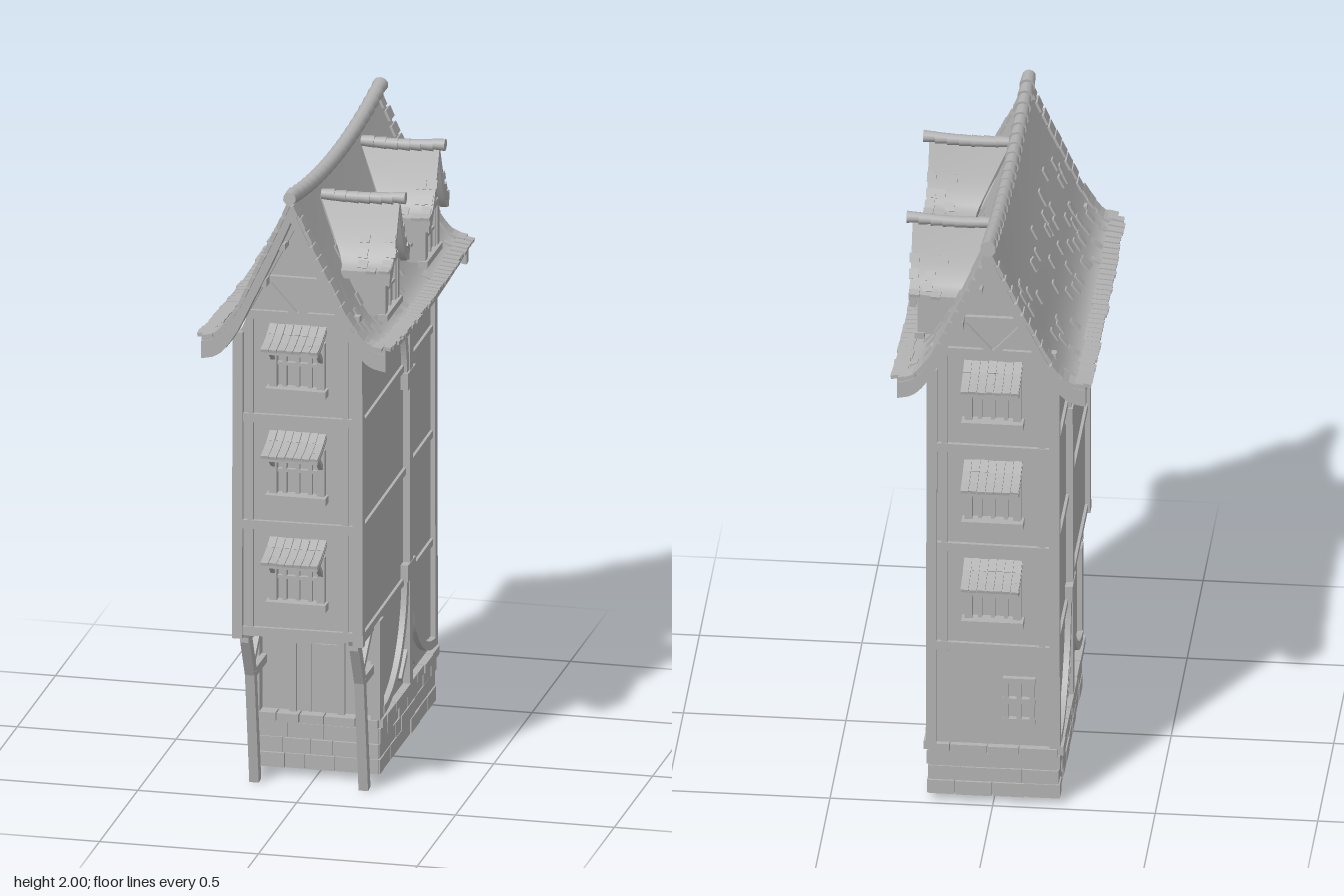
import * as THREE from 'three';
import { mergeGeometries, toCreasedNormals } from 'three/addons/utils/BufferGeometryUtils.js';

const V = (x, y, z) => new THREE.Vector3(x, y, z);
const grey = new THREE.MeshStandardMaterial({ color: 0xb2b2b2, side: THREE.DoubleSide });
grey.name = 'plain grey';

let seed = 7;
const rnd = (a = 0, b = 1) => {
  seed = (seed * 16807) % 2147483647;
  return a + (b - a) * (seed / 2147483647);
};

function add(parent, name, geos) {
  const flat = geos.map((g) => {
    const n = g.index ? g.toNonIndexed() : g;
    n.deleteAttribute('uv');
    return n;
  });
  const mesh = new THREE.Mesh(mergeGeometries(flat), grey);
  mesh.name = name;
  parent.add(mesh);
  return mesh;
}

// Box given by its lowest and highest corners
const box = (x0, x1, y0, y1, z0, z1) =>
  new THREE.BoxGeometry(x1 - x0, y1 - y0, z1 - z0).translate((x0 + x1) / 2, (y0 + y1) / 2, (z0 + z1) / 2);

// Straight timber from a to b
function beam(a, b, w, d = w) {
  const dir = b.clone().sub(a);
  const g = new THREE.BoxGeometry(w, dir.length(), d);
  g.applyQuaternion(new THREE.Quaternion().setFromUnitVectors(V(0, 1, 0), dir.normalize()));
  const m = a.clone().add(b).multiplyScalar(0.5);
  return g.translate(m.x, m.y, m.z);
}

// Curved sheet f(u, v) thickened by a drop in y
function slab(f, nu, nv, drop) {
  const pos = [], idx = [], n = nv + 1, ring = 2 * n;
  for (let i = 0; i <= nu; i++) {
    const row = [];
    for (let j = 0; j <= nv; j++) row.push(f(i / nu, j / nv));
    for (const p of row) pos.push(p.x, p.y, p.z);
    for (const p of row.reverse()) pos.push(p.x, p.y - drop, p.z);
  }
  const quad = (a, b, c, d) => idx.push(a, b, c, a, c, d);
  for (let i = 0; i < nu; i++)
    for (let j = 0; j < ring; j++) {
      const k = (j + 1) % ring, o = i * ring;
      quad(o + j, o + k, o + ring + k, o + ring + j);
    }
  for (let j = 0; j < nv; j++) {
    const o = nu * ring, a = j, b = j + 1, c = ring - 2 - j, d = ring - 1 - j;
    quad(d, c, b, a);
    quad(o + a, o + b, o + c, o + d);
  }
  // Turn the faces outward when the signed volume is negative
  let vol = 0;
  const at = (i) => V(pos[3 * i], pos[3 * i + 1], pos[3 * i + 2]);
  for (let i = 0; i < idx.length; i += 3) vol += at(idx[i]).dot(at(idx[i + 1]).cross(at(idx[i + 2])));
  if (vol < 0) idx.reverse();
  const g = new THREE.BufferGeometry();
  g.setAttribute('position', new THREE.Float32BufferAttribute(pos, 3));
  g.setIndex(idx);
  return toCreasedNormals(g, 0.5);
}

// Main roof slope: flared at the eaves, sagging in the middle
const slope = new THREE.SplineCurve([[0, 1.915], [0.06, 1.785], [0.12, 1.665], [0.18, 1.55], [0.235, 1.487], [0.29, 1.475]]
  .map((p) => new THREE.Vector2(...p)));
const roofAt = (s, t, z) => {
  const p = slope.getPoint(t);
  return V(s * p.x - 0.015 * z * (1 - t), p.y + (0.05 - 0.022 * t) * (z / 0.56) ** 2, z);
};
function roofTile(s, t, z, len, wid) {
  const a = roofAt(s, t - 0.02, z), b = roofAt(s, t + 0.02, z);
  return new THREE.BoxGeometry(len, 0.012, wid).rotateZ(Math.atan2(b.y - a.y, b.x - a.x))
    .translate((a.x + b.x) / 2, (a.y + b.y) / 2, z);
}

function buildRoof(root) {
  const span = (z) => (u, v) => roofAt(v < 0.5 ? -1 : 1, Math.abs(2 * v - 1), z(u));
  add(root, 'roof', [slab(span((u) => -0.54 + 1.08 * u), 20, 28, 0.035)]);
  const boards = [-1, 1].map((e) => slab((u, v) => span(() => e * (0.515 + 0.03 * u))(u, v).add(V(0, -0.02, 0)), 1, 28, 0.055));
  add(root, 'bargeboards', boards);
  const tiles = [];
  for (const s of [-1, 1]) {
    for (let z = -0.53; z < 0.54; z += 0.031) tiles.push(roofTile(s, 0.94 + rnd(0, 0.03), z, 0.05, 0.027));
    for (const e of [-1, 1])
      for (let t = 0.06; t < 0.95; t += 0.06) tiles.push(roofTile(s, t, e * rnd(0.525, 0.54), 0.035, rnd(0.035, 0.06)));
    for (let i = 0; i < 55; i++) tiles.push(roofTile(s, rnd(0.25, 0.85), rnd(-0.5, 0.5), 0.04, 0.024));
  }
  add(root, 'roofTiles', tiles);
  const caps = [];
  for (let i = 0; i < 20; i++) {
    const z = -0.532 + i * 0.056, p = roofAt(1, 0, z);
    caps.push(new THREE.CylinderGeometry(0.02, 0.025, 0.062, 10).rotateX(Math.PI / 2).rotateX(-0.17 * z).translate(p.x, p.y + 0.006, z));
  }
  add(root, 'ridgeTiles', caps);
}

// Shape drawn in (z, y), extruded along x from x0 to x1
const sideShape = (shape, x0, x1) =>
  new THREE.ExtrudeGeometry(shape, { depth: x1 - x0, bevelEnabled: false, curveSegments: 14 }).rotateY(-Math.PI / 2).translate(x1, 0, 0);

function buildDormer(root, zc) {
  const g = new THREE.Group();
  g.name = 'dormer';
  g.position.z = zc;
  root.add(g);
  const face = new THREE.Shape([[-0.085, 1.54], [0.085, 1.54], [0.085, 1.7], [0, 1.85], [-0.085, 1.7]].map((p) => new THREE.Vector2(...p)));
  add(g, 'dormerWall', [sideShape(face, 0.06, 0.235)]);
  const line = new THREE.SplineCurve([[0, 1.885], [0.035, 1.805], [0.065, 1.745], [0.095, 1.705], [0.13, 1.695]].map((p) => new THREE.Vector2(...p)));
  const at = (u, v, xs) => {
    const s = v < 0.5 ? -1 : 1, p = line.getPoint(Math.abs(2 * v - 1));
    const back = 0.02 + (1.885 - p.y) * 0.5, x = xs ?? back + (0.27 - back) * u;
    return V(x, p.y + 0.4 * (x - 0.12) ** 2, s * p.x);
  };
  add(g, 'dormerRoof', [slab((u, v) => at(u, v), 8, 20, 0.025)]);
  add(g, 'dormerBargeboard', [slab((u, v) => at(u, v, 0.248 + 0.02 * u).add(V(0, -0.012, 0)), 1, 20, 0.035)]);
  const caps = [], tiles = [];
  for (let i = 0; i < 7; i++) {
    const x = 0.045 + i * 0.037;
    caps.push(new THREE.CylinderGeometry(0.019, 0.016, 0.042, 10).rotateZ(-Math.PI / 2).translate(x, at(0, 0.5, x).y + 0.005, 0));
  }
  for (const v of [0.02, 0.12, 0.22, 0.32, 0.68, 0.78, 0.88, 0.98])
    for (let i = 0; i < 2; i++) {
      const x = i ? rnd(0.25, 0.262) : rnd(0.17, 0.23), a = at(0, Math.max(0, v - 0.02), x), b = at(0, Math.min(1, v + 0.02), x);
      tiles.push(new THREE.BoxGeometry(0.03, 0.01, 0.03).rotateX(-Math.atan2(b.y - a.y, b.z - a.z)).translate(x, (a.y + b.y) / 2, (a.z + b.z) / 2));
    }
  add(g, 'dormerRidgeTiles', caps);
  add(g, 'dormerTiles', tiles);
  // Window frame, glazing bars and gable timbers
  const x0 = 0.225, x1 = 0.247;
  const frame = [box(x0, 0.255, 1.53, 1.55, -0.1, 0.1), box(x0, x1, 1.68, 1.7, -0.09, 0.09),
    box(x0, 0.242, 1.55, 1.68, -0.006, 0.006), box(x0, 0.242, 1.61, 1.62, -0.06, 0.06)];
  for (const s of [-1, 1]) {
    frame.push(box(x0, x1, 1.54, 1.7, s * 0.08 - 0.012, s * 0.08 + 0.012), box(x0, 0.244, 1.55, 1.69, s * 0.055 - 0.006, s * 0.055 + 0.006));
    frame.push(beam(V(0.238, 1.7, s * 0.05), V(0.238, 1.78, 0), 0.016));
  }
  add(g, 'dormerWindow', frame);
}

// Window with sill and tiled awning, facing +z, sill at y = 0
function buildWindow(root, y, end) {
  const g = new THREE.Group();
  g.name = 'awningWindow';
  g.position.set(0, y, end * 0.475);
  g.rotation.y = end > 0 ? 0 : Math.PI;
  root.add(g);
  const frame = [box(-0.095, 0.095, -0.012, 0.012, 0, 0.045), box(-0.085, 0.085, 0.14, 0.16, 0, 0.025),
    box(-0.006, 0.006, 0.01, 0.15, 0, 0.014), box(-0.07, 0.07, 0.08, 0.09, 0, 0.014)];
  const awnAt = (u, v) => V(0.09 * (2 * u - 1), 0.205 - 0.075 * v + 0.03 * v * v, 0.125 * v);
  for (const s of [-1, 1]) {
    frame.push(box(s * 0.075 - 0.012, s * 0.075 + 0.012, 0, 0.16, 0, 0.024), box(s * 0.04 - 0.006, s * 0.04 + 0.006, 0.01, 0.15, 0, 0.016));
    frame.push(beam(V(s * 0.075, 0.1, 0.015), V(s * 0.075, 0.155, 0.075), 0.014), beam(V(s * 0.075, 0.185, 0.01), V(s * 0.075, 0.15, 0.1), 0.012));
  }
  add(g, 'windowFrame', frame);
  const tiles = [];
  for (let r = 0; r < 3; r++)
    for (let i = 0; i < 7; i++) {
      const p = awnAt((i + 0.5) / 7, (r + 0.55) / 3);
      tiles.push(new THREE.BoxGeometry(0.024, 0.01, 0.045).rotateX(0.48 - 0.14 * r).translate(p.x, p.y + 0.003, p.z + rnd(-0.003, 0.003)));
    }
  add(g, 'awning', [slab(awnAt, 1, 6, 0.012), ...tiles]);
}

function buildBase(root) {
  const stones = [box(-0.195, -0.14, 0.025, 0.19, -0.475, 0.245), box(0.14, 0.195, 0.025, 0.19, -0.475, 0.245),
    box(-0.195, 0.195, 0.025, 0.19, -0.475, -0.42), box(-0.195, 0.195, 0.025, 0.19, 0.19, 0.245)];
  // Courses of uneven stones on all four sides, then the coping
  for (let r = 0; r < 4; r++) {
    const cap = r === 3, y0 = cap ? 0.172 : 0.022 + r * 0.05, y1 = cap ? 0.2 : y0 + 0.046;
    const course = (from, to, put) => {
      for (let p = from; p < to - 0.01;) {
        let q = p + rnd(0.06, 0.12);
        if (to - q < 0.04) q = to;
        put(p + 0.002, q - 0.002, (cap ? 0.016 : 0.004) + rnd(0, 0.006));
        p = q;
      }
    };
    for (const s of [-1, 1]) {
      const lo = (a, b) => [Math.min(a, b), Math.max(a, b)];
      course(-0.48, 0.25, (p, q, o) => stones.push(box(...lo(s * 0.16, s * (0.195 + o)), y0, y1, p, q)));
      course(-0.2, 0.2, (p, q, o) => stones.push(box(p, q, y0, y1, ...(s > 0 ? [0.2, 0.245 + o] : [-0.475 - o, -0.43]))));
    }
  }
  add(root, 'stoneBase', stones);
}

function buildFrame(root) {
  add(root, 'walls', [box(-0.19, 0.19, 0.52, 1.49, -0.475, 0.475), box(-0.19, 0.19, 0.18, 0.53, -0.475, 0.22)]);
  const gable = new THREE.Shape([[-0.19, 1.48], [0.19, 1.48], [0.15, 1.58], [0, 1.89], [-0.15, 1.58]].map((p) => new THREE.Vector2(...p)));
  add(root, 'gableWalls', [new THREE.ExtrudeGeometry(gable, { depth: 0.95, bevelEnabled: false }).translate(0, 0, -0.475)]);
  const t = [];
  for (const e of [-1, 1]) {
    const z = e * 0.475, low = e > 0 ? 0.51 : 0.2;
    for (const y of [0.535, 0.88, 1.225, 1.56]) t.push(beam(V(-0.195, y, z), V(0.195, y + 0.005, z), 0.028, 0.024));
    t.push(beam(V(-0.1, 1.68, z), V(0.1, 1.68, z), 0.022, 0.03));
    for (const s of [-1, 1]) {
      t.push(beam(V(s * 0.19, low, z), V(s * 0.188, 1.5, z), 0.032), beam(V(s * 0.15, 0.52, z), V(s * 0.15, 1.55, z), 0.018, 0.02));
      t.push(beam(V(s * 0.01, 1.57, z), V(s * 0.1, 1.67, z), 0.02, 0.024), beam(V(s * 0.17, 1.56, z), V(0, 1.89, z), 0.025, 0.05));
      t.push(beam(V(s * 0.1, 1.68, z), V(s * 0.1, 1.68, e * 0.53), 0.025), beam(V(s * 0.04, 1.8, z), V(s * 0.04, 1.8, e * 0.53), 0.02));
    }
  }
  // Long sides: rails, corner posts and the braced middle post
  const braces = [], pz = -0.12;
  for (const s of [-1, 1]) {
    const x = s * 0.19, [xa, xb] = s > 0 ? [0.175, 0.208] : [-0.208, -0.175];
    for (const y of [0.535, 0.885, 1.225, 1.475]) t.push(beam(V(x, y + 0.005, -0.48), V(x, y - 0.005, 0.48), 0.018, 0.022));
    t.push(beam(V(x, 0.2, 0.235), V(x, 0.52, 0.235), 0.03, 0.05));
    t.push(beam(V(x, 0.2, pz), V(x, 1.48, pz), 0.044, 0.036));
    for (const y of [0.565, 1.185]) t.push(box(xa - 0.006, xb + 0.006, y - 0.027, y + 0.027, pz - 0.05, pz + 0.05));
    for (const d of [-1, 1])
      for (const [cy, rx, ry, up] of [[1.2, 0.19, 0.275, 1], [0.55, 0.325, 0.345, -1]]) {
        const arc = new THREE.Shape(), cz = pz + d * (rx + 0.012), a0 = d > 0 ? Math.PI : 0;
        const a1 = up * Math.PI / 2 + (d > 0 && up < 0 ? 2 * Math.PI : 0);
        arc.absellipse(cz, cy, rx, ry, a0, a1, a1 < a0);
        arc.absellipse(cz, cy, rx - 0.028, ry - 0.028, a1, a0, a1 > a0);
        braces.push(sideShape(arc, xa, xb));
        const yc = cy + up * ry;
        braces.push(beam(V(x, yc - up * 0.1, pz + d * 0.01), V(x, yc - up * 0.03, pz + d * 0.09), 0.028, 0.018));
      }
    // Leaning porch post with its bracket
    const px = s * 0.172, foot = V(px, 0, 0.327), knee = V(px, 0.37, 0.385);
    add(root, 'porchPost', [beam(foot, knee, 0.03, 0.032), beam(knee, V(px, 0.53, 0.462), 0.03, 0.034),
      beam(V(px, 0.365, 0.39), V(px, 0.365, 0.23), 0.028), beam(V(px, 0.385, 0.39), V(px, 0.49, 0.27), 0.02),
      beam(V(px, 0.505, 0.47), V(px, 0.505, 0.22), 0.028)]);
  }
  add(root, 'timbers', t);
  add(root, 'curvedBraces', braces);
}

function buildDoor(root) {
  const door = [box(-0.065, 0.065, 0.2, 0.42, 0.22, 0.226), beam(V(-0.09, 0.435, 0.225), V(0.09, 0.45, 0.225), 0.03, 0.034)];
  for (const s of [-1, 1]) door.push(box(s * 0.076 - 0.011, s * 0.076 + 0.011, 0.2, 0.44, 0.21, 0.238));
  for (const x of [-0.022, 0.022]) door.push(box(x - 0.002, x + 0.002, 0.2, 0.42, 0.22, 0.23));
  add(root, 'door', door);
  // Small rear window
  const w = [], z0 = -0.492, z1 = -0.47;
  for (const y of [0.29, 0.36, 0.43]) w.push(box(-0.13, -0.03, y - 0.009, y + 0.009, z0, z1));
  for (const x of [-0.12, -0.08, -0.04]) w.push(box(x - 0.007, x + 0.007, 0.29, 0.43, z0, z1));
  add(root, 'rearWindow', w);
}

export function createModel() {
  const root = new THREE.Group();
  root.name = 'timberHouse';
  buildBase(root);
  buildFrame(root);
  buildDoor(root);
  buildRoof(root);
  for (const z of [0.27, -0.25]) buildDormer(root, z);
  for (const end of [1, -1]) for (const y of [0.635, 0.98, 1.325]) buildWindow(root, y, end);
  return root;
}
